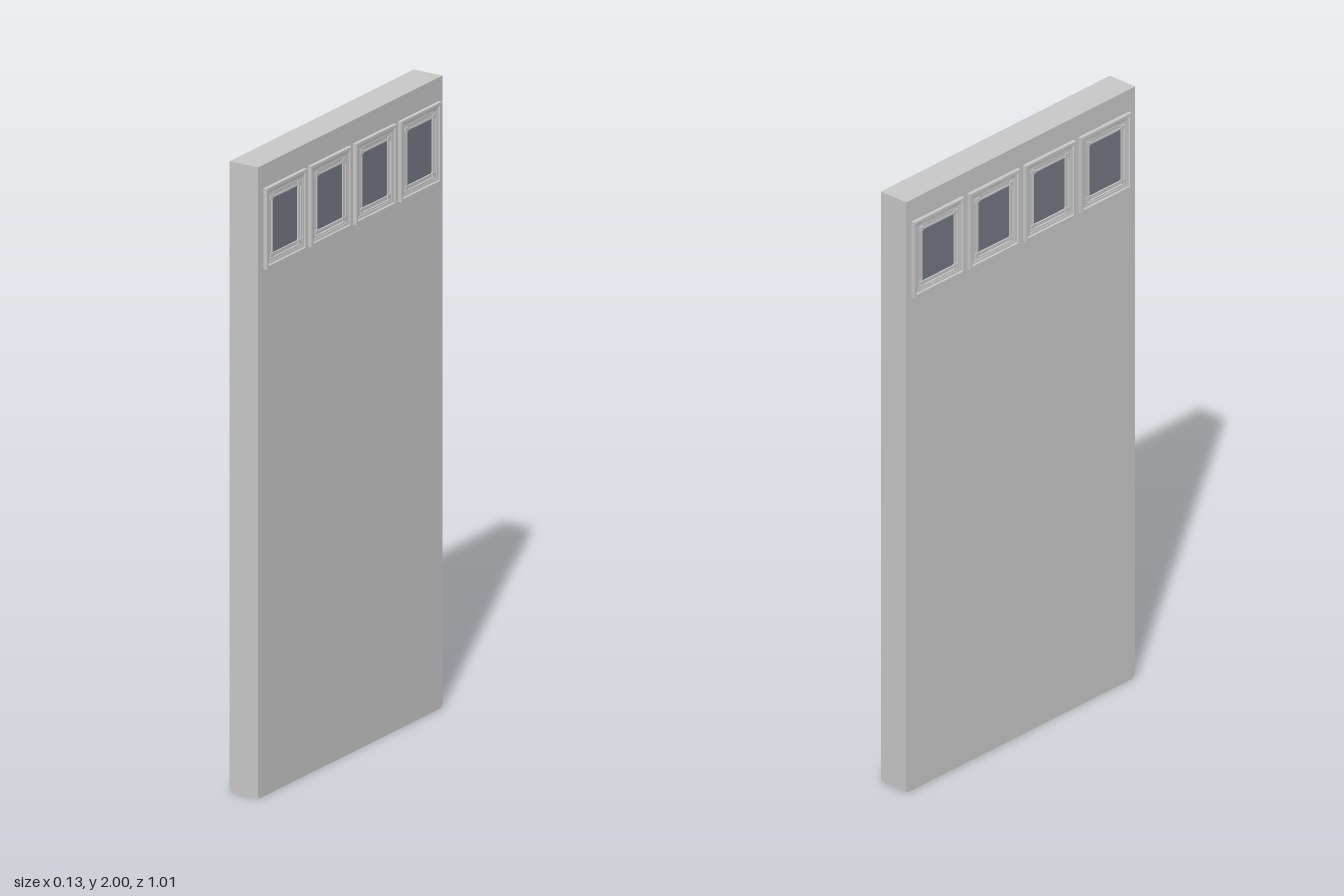
import * as THREE from 'three';

// Rectangular moulding lofted from [inset, height] steps; its face points along +z
function moulding(w, h, steps) {
  const pos = [];
  const ring = steps.map(([inset, z]) => {
    const a = w / 2 - inset, b = h / 2 - inset;
    return [[-a, -b, z], [a, -b, z], [a, b, z], [-a, b, z]];
  });
  for (let s = 0; s < ring.length - 1; s++) {
    for (let i = 0; i < 4; i++) {
      const j = (i + 1) % 4;
      const [a, b, c, d] = [ring[s][i], ring[s][j], ring[s + 1][j], ring[s + 1][i]];
      pos.push(...a, ...b, ...c, ...a, ...c, ...d);
    }
  }
  const g = new THREE.BufferGeometry();
  g.setAttribute('position', new THREE.Float32BufferAttribute(pos, 3));
  g.computeVertexNormals();
  return g;
}

function box(name, material, size, at) {
  const m = new THREE.Mesh(new THREE.BoxGeometry(...size), material);
  m.name = name;
  m.position.set(...at);
  return m;
}

export function createModel() {
  const paint = new THREE.MeshStandardMaterial({ color: 0xc8c8c8 });
  paint.name = 'light grey paint';
  const glass = new THREE.MeshStandardMaterial({ color: 0x747784 });
  glass.name = 'smoky blue glass';

  const group = new THREE.Group();
  group.name = 'door';

  // Door leaf with a slightly inset foot
  group.add(box('doorLeaf', paint, [0.103, 1.992, 1.012], [-0.0015, 1.004, 0]));
  group.add(box('doorFoot', paint, [0.101, 0.008, 0.996], [-0.0015, 0.004, 0]));

  // Window: raised outer frame, sloped step, inner frame, then the pane
  const W = 0.222, H = 0.256;
  const outer = moulding(W, H, [[0, 0], [0, 0.0125], [0.009, 0.0125], [0.012, 0.009], [0.02, 0.008], [0.021, 0.004]]);
  const inner = moulding(W, H, [[0.021, 0.004], [0.021, 0.0075], [0.026, 0.0075], [0.028, 0.005],
    [0.036, 0.005], [0.036, 0.0075], [0.041, 0.0075], [0.041, 0.001]]);

  function makeWindow() {
    const win = new THREE.Group();
    win.name = 'window';
    const frame = new THREE.Mesh(outer, paint);
    frame.name = 'outerFrame';
    const bead = new THREE.Mesh(inner, paint);
    bead.name = 'innerFrame';
    win.add(frame, bead, box('pane', glass, [W - 0.08, H - 0.08, 0.003], [0, 0, 0.0015]));
    // Small square corner blocks where the beads meet
    for (const sx of [-1, 1]) {
      for (const sy of [-1, 1]) {
        win.add(box('cornerBlock', paint, [0.015, 0.015, 0.006],
          [sx * (W / 2 - 0.036), sy * (H / 2 - 0.036), 0.006]));
      }
    }
    return win;
  }

  // Four windows on each face of the door
  for (const side of [-1, 1]) {
    for (let i = 0; i < 4; i++) {
      const win = makeWindow();
      win.position.set(side > 0 ? 0.05 : -0.053, 1.798, -0.002 + (i - 1.5) * 0.246);
      win.rotation.y = side * Math.PI / 2;
      group.add(win);
    }
  }
  return group;
}
